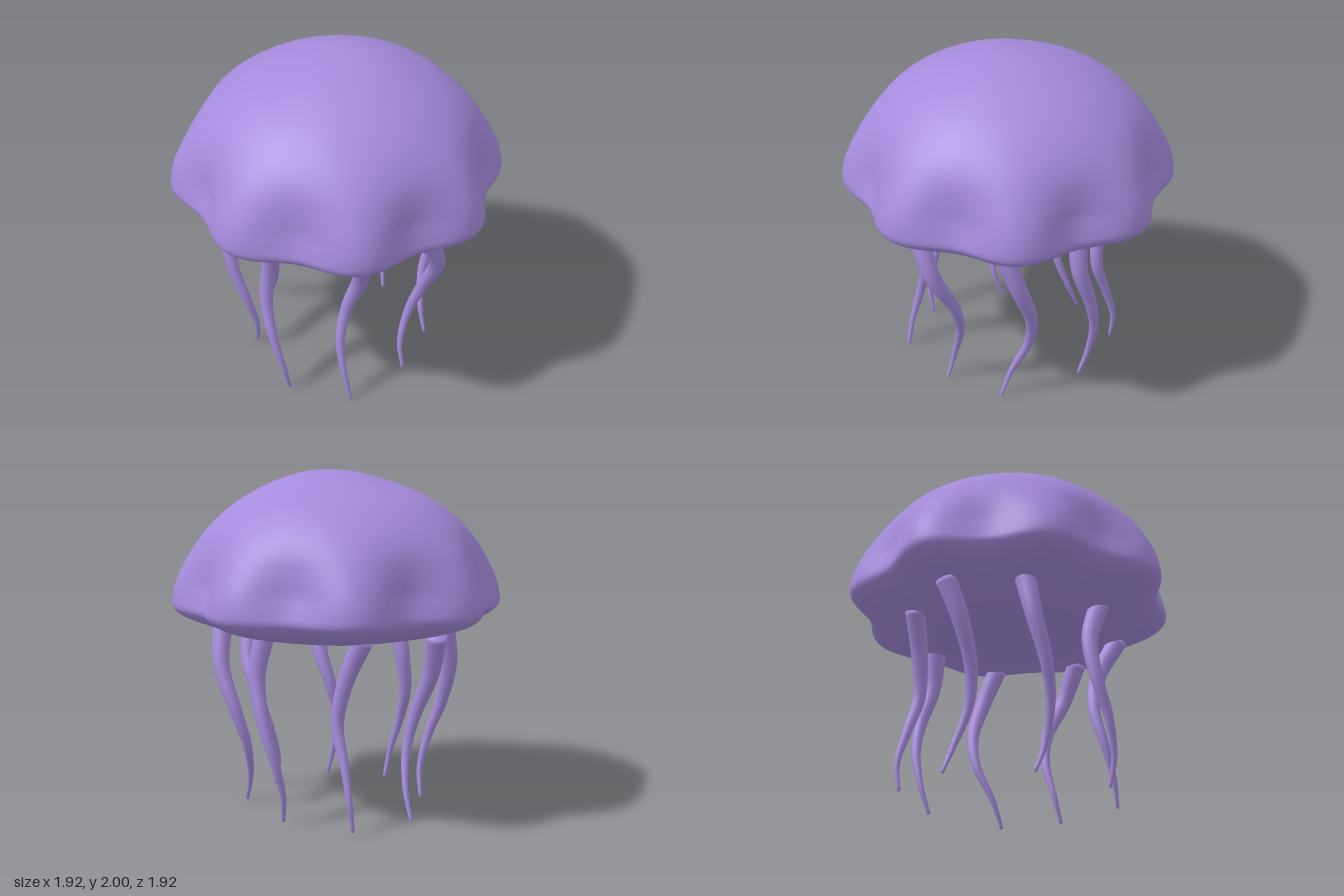
import * as THREE from 'three';
import { mergeVertices } from 'three/addons/utils/BufferGeometryUtils.js';

const skin = new THREE.MeshStandardMaterial({ color: 0xa58bdc });
skin.name = 'lavender skin';

// Bell profile from underside to crown: radius, height, lobe depth
const PROFILE = [
  [0, 1.012, 0], [0.4, 1.03, 0], [0.65, 1.075, 0.01], [0.8, 1.122, 0.03], [0.89, 1.168, 0.042],
  [0.924, 1.21, 0.046], [0.918, 1.27, 0.053], [0.893, 1.36, 0.055], [0.863, 1.46, 0.038],
  [0.812, 1.58, 0.016], [0.726, 1.695, 0.004], [0.59, 1.81, 0], [0.45, 1.888, 0], [0.3, 1.95, 0],
  [0.15, 1.988, 0], [0, 2, 0],
];

// Tentacle centre lines: x and z at each height
const HEIGHTS = [1.093, 0.85, 0.6, 0.39, 0.17, 0.005];
const TENTACLES = [
  { x: [0.67, 0.69, 0.58, 0.5, 0.475, 0.51], z: [0.2, 0.1, 0.03, 0.04, 0.1, 0.13] },
  { x: [0.43, 0.36, 0.27, 0.255, 0.305, 0.35], z: [0.535, 0.43, 0.425, 0.48, 0.52, 0.525] },
  { x: [-0.09, -0.17, -0.18, -0.12, -0.05, -0.03], z: [0.575, 0.54, 0.575, 0.62, 0.625, 0.59] },
  { x: [-0.565, -0.575, -0.51, -0.43, -0.39, -0.42], z: [0.29, 0.345, 0.39, 0.385, 0.34, 0.29] },
  { x: [-0.7, -0.635, -0.53, -0.49, -0.52, -0.575], z: [-0.13, -0.06, -0.04, -0.07, -0.14, -0.18] },
  { x: [-0.4, -0.295, -0.25, -0.31, -0.365, -0.375], z: [-0.45, -0.46, -0.475, -0.51, -0.545, -0.525] },
  { x: [0.175, 0.205, 0.14, 0.075, 0.045, 0.07], z: [-0.555, -0.59, -0.635, -0.63, -0.58, -0.535] },
  { x: [0.605, 0.565, 0.46, 0.41, 0.445, 0.495], z: [-0.32, -0.4, -0.42, -0.375, -0.28, -0.24] },
];

// Weld a deformed surface and smooth its normals
function smoothMesh(geometry, name) {
  geometry.deleteAttribute('uv');
  geometry.deleteAttribute('normal');
  const welded = mergeVertices(geometry, 1e-5);
  welded.computeVertexNormals();
  const mesh = new THREE.Mesh(welded, skin);
  mesh.name = name;
  return mesh;
}

// Smooth dome whose rim swells into eight lobes
function createBell() {
  const curve = new THREE.CatmullRomCurve3(PROFILE.map((p) => new THREE.Vector3(...p)), false, 'centripetal');
  const samples = curve.getPoints(60);
  const points = samples.map((p) => new THREE.Vector2(Math.max(p.x, 0), p.y));
  const geometry = new THREE.LatheGeometry(points, 128);
  const pos = geometry.attributes.position;
  for (let i = 0; i < pos.count; i++) {
    const sample = samples[i % samples.length];
    const angle = Math.atan2(pos.getZ(i), pos.getX(i));
    const r = sample.x + sample.z * Math.cos(8 * (angle - 0.195));
    const x = r * Math.cos(angle);
    const z = r * Math.sin(angle);
    // the crown leans slightly to one side, with a faint hollow on the other
    let lift = 0;
    if (sample.y > 1.6) {
      lift = 0.05 * x * Math.exp(-(r * r) / 0.2) - 0.016 * Math.exp(-((x + 0.27) ** 2 + z * z) / 0.05);
    }
    pos.setXYZ(i, x, sample.y + lift, z);
  }
  return smoothMesh(geometry, 'bell');
}

// Wavy tapering tube; the first and last rings shrink to points to cap the ends
function createTentacle({ x, z }) {
  const curve = new THREE.CatmullRomCurve3(HEIGHTS.map((y, i) => new THREE.Vector3(x[i], y, z[i])));
  const rings = 48;
  const sides = 14;
  const geometry = new THREE.TubeGeometry(curve, rings, 1, sides);
  const pos = geometry.attributes.position;
  const v = new THREE.Vector3();
  for (let i = 0; i <= rings; i++) {
    const t = THREE.MathUtils.clamp((i - 1) / (rings - 2), 0, 1);
    const radius = i === 0 || i === rings ? 0 : 0.06 - 0.05 * t;
    const oldCentre = curve.getPointAt(i / rings);
    const centre = curve.getPointAt(t);
    for (let j = 0; j <= sides; j++) {
      const k = i * (sides + 1) + j;
      v.fromBufferAttribute(pos, k).sub(oldCentre).multiplyScalar(radius).add(centre);
      pos.setXYZ(k, v.x, v.y, v.z);
    }
  }
  return smoothMesh(geometry, 'tentacle');
}

export function createModel() {
  const model = new THREE.Group();
  model.name = 'jellyfish';
  model.add(createBell());
  const tentacles = new THREE.Group();
  tentacles.name = 'tentacles';
  TENTACLES.forEach((path) => tentacles.add(createTentacle(path)));
  model.add(tentacles);
  return model;
}
